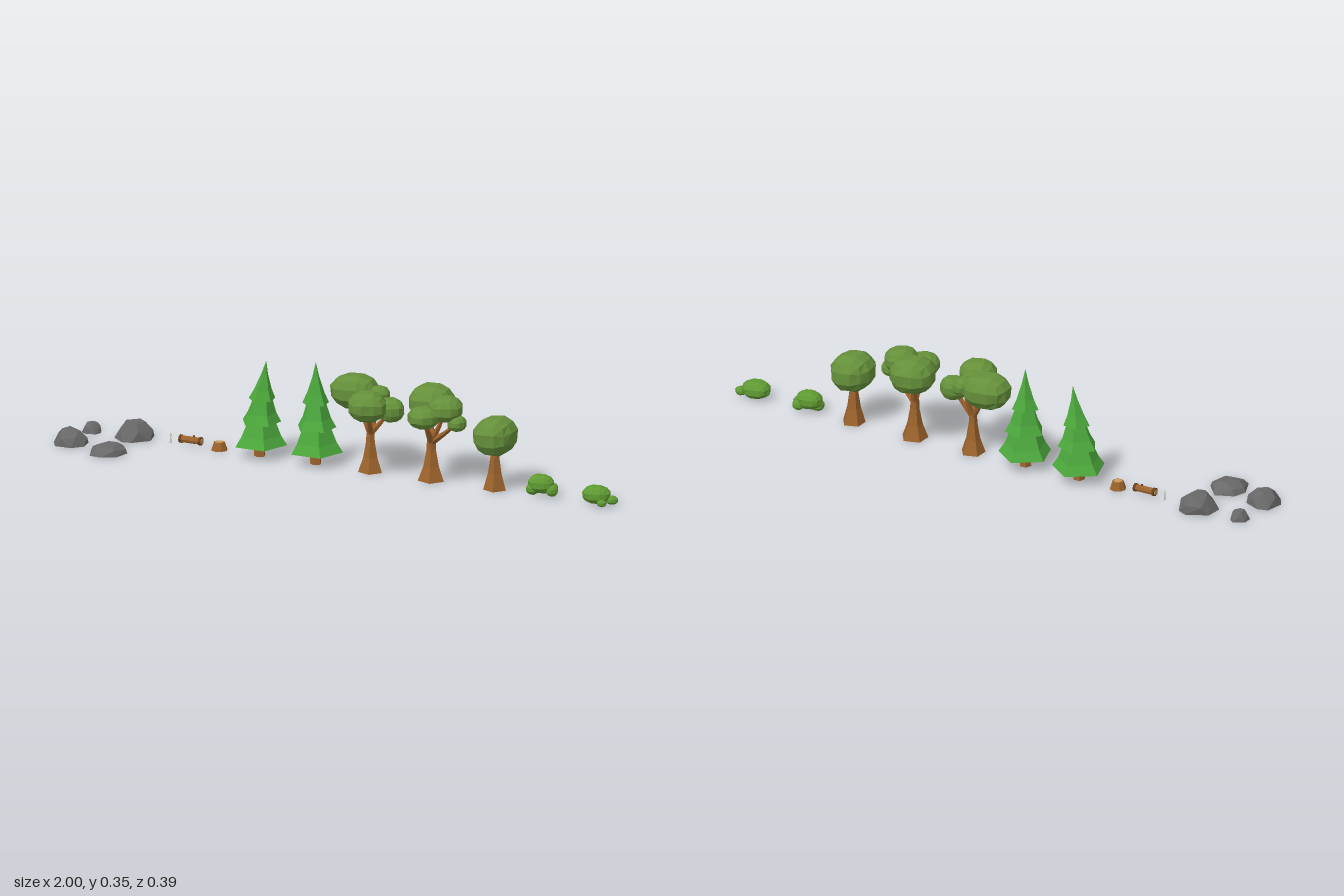
import * as THREE from 'three';
import { ConvexGeometry } from 'three/addons/geometries/ConvexGeometry.js';
import { mergeVertices } from 'three/addons/utils/BufferGeometryUtils.js';

const mat = (color) => new THREE.MeshStandardMaterial({ color, flatShading: true, side: THREE.DoubleSide });
const leaf = mat(0x65903a), pineGreen = mat(0x4ca83c), bushGreen = mat(0x5f9a32);
const bark = mat(0x9c632c), darkBark = mat(0x6b4220), cutWood = mat(0xc99a5c);
const stone = mat(0x686868), pale = mat(0xcfcfc4);
const ROW = -0.068; // z of the main row

// Small seeded generator, returns values in -1..1
function seeded(seed) {
  let s = seed * 7919 + 17;
  return () => ((s = (s * 16807) % 2147483647) / 2147483647) * 2 - 1;
}

function add(parent, name, geometry, material, x = 0, y = 0, z = 0) {
  const mesh = new THREE.Mesh(geometry, material);
  mesh.name = name;
  mesh.position.set(x, y, z);
  parent.add(mesh);
  return mesh;
}

function group(parent, name, x, z = ROW) {
  const g = new THREE.Group();
  g.name = name;
  g.position.set(x, 0, z);
  parent.add(g);
  return g;
}

// Faceted leaf ball: a subdivided box blown up to a sphere and slightly jittered
function ball(parent, name, material, x, y, z, rx, ry, rz, seed, turn = 0.2) {
  const box = new THREE.BoxGeometry(2, 2, 2, 3, 3, 3);
  box.deleteAttribute('normal');
  box.deleteAttribute('uv');
  const geo = mergeVertices(box);
  const p = geo.attributes.position, v = new THREE.Vector3(), rand = seeded(seed);
  for (let i = 0; i < p.count; i++) {
    v.fromBufferAttribute(p, i).normalize().multiplyScalar(1.03 + rand() * 0.03);
    v.applyAxisAngle(new THREE.Vector3(0, 1, 0), turn);
    p.setXYZ(i, v.x * rx, v.y * ry, v.z * rz);
  }
  geo.computeVertexNormals();
  return add(parent, name, geo, material, x, y, z);
}

// Tapered limb between two points
function limb(parent, name, a, b, r0, r1) {
  const from = new THREE.Vector3(...a), to = new THREE.Vector3(...b);
  const dir = to.clone().sub(from);
  const mesh = add(parent, name, new THREE.CylinderGeometry(r1, r0, dir.length(), 5), bark);
  mesh.position.copy(from).addScaledVector(dir, 0.5);
  mesh.quaternion.setFromUnitVectors(new THREE.Vector3(0, 1, 0), dir.normalize());
}

// Trunk with flared foot
function trunk(parent, foot, height) {
  const profile = [[0, 0], [foot, 0], [foot * 0.6, height * 0.35], [foot * 0.36, height * 0.75], [foot * 0.34, height], [0, height]];
  add(parent, 'trunk', new THREE.LatheGeometry(profile.map(([r, y]) => new THREE.Vector2(r, y)), 5, 0.3), bark);
}

// Flat-based boulder: hull of three uneven rings
function rock(parent, x, z, rx, rz, h, seed) {
  const rand = seeded(seed), pts = [];
  const rings = [[0, 1], [0.5, 0.84], [0.9, 0.5]];
  rings.forEach(([y, r], k) => {
    for (let i = 0; i < 7 - k; i++) {
      const a = (i + 0.25 * rand()) / (7 - k) * Math.PI * 2 + seed;
      const q = r * (1 + 0.1 * rand());
      pts.push(new THREE.Vector3(Math.cos(a) * rx * q, y ? h * (y + 0.1 * rand()) : 0, Math.sin(a) * rz * q));
    }
  });
  add(parent, 'rock', new ConvexGeometry(pts), stone, x, 0, z);
}

// Conifer: three flared five-sided skirts, topped by a leaning tip
function pine(parent, x, height, lean) {
  const g = group(parent, 'pineTree', x);
  add(g, 'trunk', new THREE.CylinderGeometry(0.014, 0.02, 0.09, 5), bark, 0, 0.045);
  const s = height / 0.345;
  const tiers = [
    [[0, 0.055], [0.091, 0.042], [0.07, 0.075], [0.04, 0.15], [0, 0.17]],
    [[0, 0.137], [0.068, 0.122], [0.05, 0.155], [0.024, 0.235], [0, 0.25]],
    [[0, 0.215], [0.046, 0.205], [0.03, 0.24], [0.012, 0.295], [0, 0.345]],
  ];
  tiers.forEach((tier, i) => {
    const geo = new THREE.LatheGeometry(tier.map(([r, y]) => new THREE.Vector2(r, y * s)), 5, Math.PI + i * 0.25);
    const p = geo.attributes.position;
    for (let k = 0; k < p.count; k++) p.setX(k, p.getX(k) + lean * (p.getY(k) / height) ** 2);
    add(g, 'needleSkirt', geo, pineGreen);
  });
}

// Broadleaf tree: trunk, a branch to each crown ball [x, y, z, rx, ry, rz] (x, z absolute)
function broadTree(parent, x, foot, height, crowns) {
  const g = group(parent, 'broadTree', x);
  trunk(g, foot, height);
  crowns.forEach(([cx, cy, cz, rx, ry, rz], i) => {
    const end = [cx - x, cy, cz - ROW];
    if (crowns.length > 1) {
      const bend = [end[0] * 0.55, height + (cy - height) * 0.45, end[2] * 0.55];
      limb(g, 'branch', [0, height - 0.01, 0], bend, foot * 0.28, 0.008);
      limb(g, 'branch', bend, end, 0.008, 0.005);
    }
    ball(g, 'crown', leaf, ...end, rx, ry, rz, i + Math.round(x * 50) + 1, 0.15 + i * 0.3);
  });
}

// Low bush: balls given as [x, y, z, rx, ry, rz] relative to its centre
function bush(parent, x, balls) {
  const g = group(parent, 'bush', x);
  balls.forEach((b, i) => ball(g, 'bushClump', bushGreen, ...b, i + 40, 0.3 + i * 0.4));
}

export function createModel() {
  const root = new THREE.Group();
  root.name = 'forestSet';

  // Boulders
  rock(root, -0.94, -0.07, 0.034, 0.034, 0.035, 1);
  rock(root, -0.78, -0.068, 0.064, 0.068, 0.06, 2);
  rock(root, -0.94, 0.085, 0.062, 0.057, 0.052, 3);
  rock(root, -0.78, 0.127, 0.064, 0.07, 0.032, 4);

  // Tiny mushroom
  const mushroom = group(root, 'mushroom', -0.65);
  add(mushroom, 'stem', new THREE.CylinderGeometry(0.002, 0.003, 0.026, 5), pale, 0, 0.013);
  add(mushroom, 'cap', new THREE.ConeGeometry(0.006, 0.013, 6), pale, 0, 0.03);

  // Lying log with rings at both ends
  const log = group(root, 'log', -0.575);
  add(log, 'logBody', new THREE.CylinderGeometry(0.012, 0.012, 0.076, 8).rotateZ(Math.PI / 2), bark, 0, 0.02);
  for (const side of [-1, 1]) {
    add(log, 'barkRing', new THREE.CylinderGeometry(0.0145, 0.0145, 0.008, 8).rotateZ(Math.PI / 2), darkBark, side * 0.036, 0.02);
    add(log, 'cutEnd', new THREE.CylinderGeometry(0.01, 0.01, 0.002, 8).rotateZ(Math.PI / 2), cutWood, side * 0.0405, 0.02);
  }
  add(log, 'twig', new THREE.CylinderGeometry(0.003, 0.004, 0.014, 5), darkBark, 0.012, 0.03);

  // Stump with a pale cut face
  const stump = group(root, 'stump', -0.47);
  add(stump, 'stumpBody', new THREE.CylinderGeometry(0.019, 0.028, 0.027, 8), bark, 0, 0.0135);
  add(stump, 'cutFace', new THREE.CylinderGeometry(0.014, 0.014, 0.002, 8), cutWood, 0, 0.0275);

  // Trees
  pine(root, -0.32, 0.328, 0.024);
  pine(root, -0.113, 0.347, 0);
  broadTree(root, 0.09, 0.042, 0.14, [
    [0.01, 0.255, -0.11, 0.083, 0.06, 0.074],
    [0.116, 0.245, 0.008, 0.067, 0.052, 0.062],
    [0.16, 0.218, -0.075, 0.047, 0.042, 0.04],
    [0.1, 0.25, -0.11, 0.036, 0.034, 0.04],
  ]);
  broadTree(root, 0.315, 0.046, 0.14, [
    [0.29, 0.252, -0.118, 0.077, 0.063, 0.078],
    [0.38, 0.258, -0.045, 0.056, 0.044, 0.06],
    [0.325, 0.235, 0.01, 0.054, 0.038, 0.053],
    [0.423, 0.215, -0.04, 0.032, 0.028, 0.032],
  ]);
  broadTree(root, 0.55, 0.04, 0.16, [[0.552, 0.184, -0.066, 0.071, 0.066, 0.086]]);

  // Bushes
  bush(root, 0.72, [
    [0, 0.042, 0, 0.046, 0.032, 0.037],
    [0.042, 0.024, 0.004, 0.02, 0.02, 0.02],
    [0.03, 0.025, -0.022, 0.02, 0.018, 0.018],
    [-0.025, 0.024, 0.012, 0.022, 0.02, 0.022],
  ]);
  bush(root, 0.925, [
    [0, 0.032, 0, 0.05, 0.031, 0.042],
    [0.053, 0.017, -0.008, 0.021, 0.015, 0.019],
    [0.034, 0.013, 0.03, 0.016, 0.012, 0.015],
  ]);
  return root;
}
